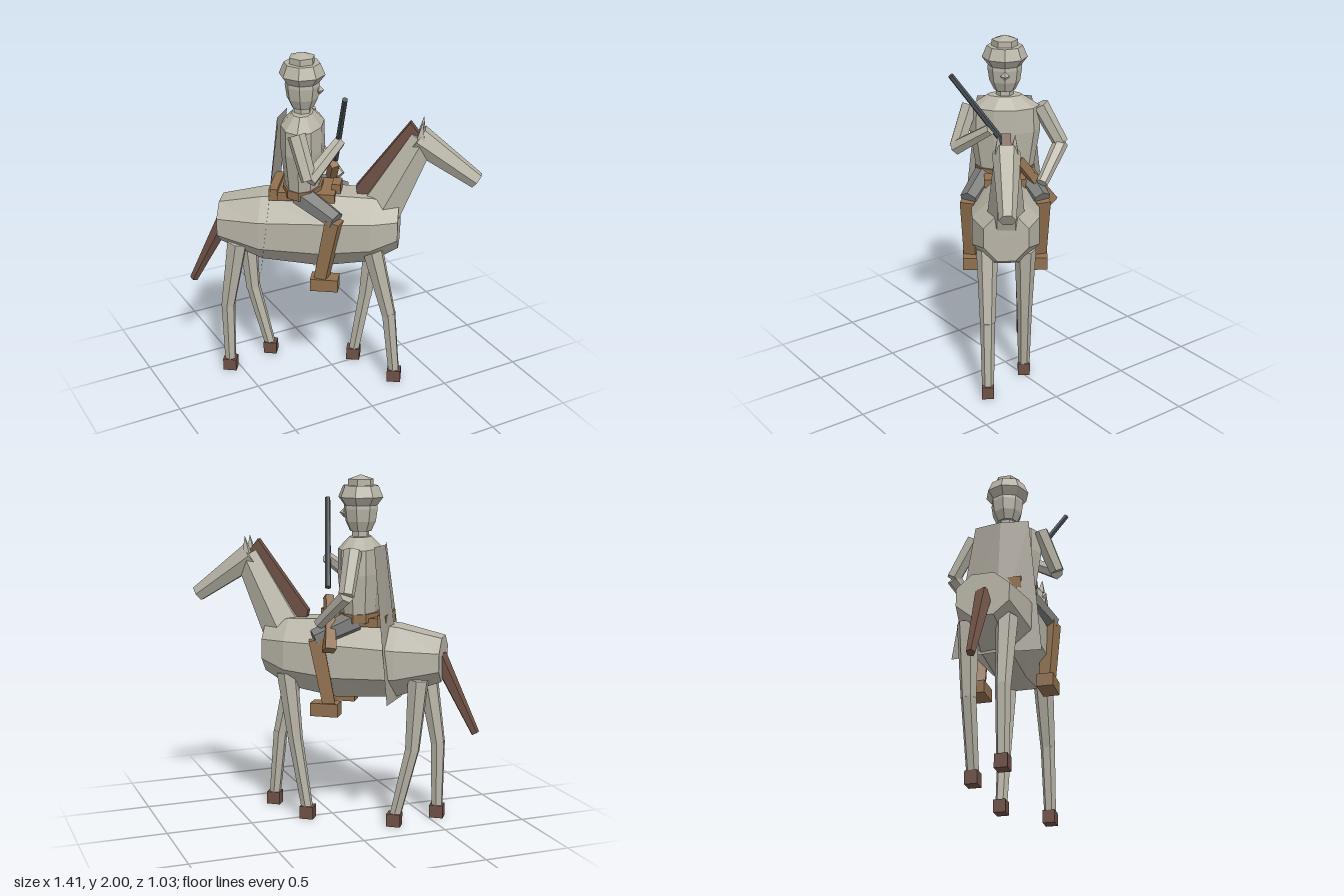
import * as THREE from 'three';

const paint = (name, color) => {
  const m = new THREE.MeshStandardMaterial({ color, flatShading: true });
  m.name = name;
  return m;
};

export function createModel() {
  const stone = paint('pale stone grey', 0xb8b4a7);
  const cloth = paint('cape grey', 0xa39e93);
  const trousers = paint('trouser grey', 0x7b7c7a);
  const hair = paint('dark brown', 0x6e5145);
  const leather = paint('leather brown', 0x90704f);
  const steel = paint('gun metal', 0x4c5358);
  cloth.side = THREE.DoubleSide;

  // Built facing +x with the right flank on +z, then turned on the spot
  const model = new THREE.Group();
  model.name = 'horseAndRider';
  const horse = new THREE.Group();
  horse.name = 'horse';
  const rider = new THREE.Group();
  rider.name = 'rider';
  model.add(horse, rider);

  const add = (parent, name, geometry, material) => {
    const mesh = new THREE.Mesh(geometry, material);
    mesh.name = name;
    parent.add(mesh);
    return mesh;
  };
  // Tapered prism between two points; depth scales its thickness along z
  const rod = (parent, name, a, b, ra, rb, material, sides = 6, depth = 1) => {
    const from = new THREE.Vector3(...a), to = new THREE.Vector3(...b);
    const dir = to.clone().sub(from);
    const geo = new THREE.CylinderGeometry(rb, ra, dir.length(), sides);
    if (sides === 4) geo.rotateY(Math.PI / 4);
    geo.scale(1, 1, depth);
    const mesh = add(parent, name, geo, material);
    mesh.position.copy(from).add(to).multiplyScalar(0.5);
    mesh.quaternion.setFromUnitVectors(new THREE.Vector3(0, 1, 0), dir.normalize());
    return mesh;
  };
  const box = (parent, name, size, pos, material) => {
    const mesh = add(parent, name, new THREE.BoxGeometry(...size), material);
    mesh.position.set(...pos);
    return mesh;
  };
  const lathe = (parent, name, profile, x, material, sides = 8) => {
    const pts = profile.map(([r, y]) => new THREE.Vector2(r, y));
    const mesh = add(parent, name, new THREE.LatheGeometry(pts, sides), material);
    mesh.position.x = x;
    return mesh;
  };

  // Barrel of the horse: octagonal sections [x, centre y, half height, half width]
  const rings = [
    [-0.65, 0.985, 0.135, 0.16], [-0.4, 0.965, 0.215, 0.21], [-0.05, 0.97, 0.245, 0.215],
    [0.24, 0.99, 0.215, 0.205], [0.39, 1.01, 0.15, 0.135],
  ];
  const barrel = new THREE.CylinderGeometry(1, 1, 1, 8, rings.length - 1);
  barrel.rotateY(Math.PI / 8).rotateZ(-Math.PI / 2);
  const p = barrel.attributes.position;
  for (let i = 0; i < p.count; i++) {
    const [x, y, h, w] = rings[Math.round((p.getX(i) + 0.5) * (rings.length - 1))];
    p.setXYZ(i, x, y + p.getY(i) * h, p.getZ(i) * w);
  }
  add(horse, 'horseBody', barrel, stone);

  // Neck, head, ears, mane and tail
  rod(horse, 'horseNeck', [0.27, 1.07, 0], [0.51, 1.54, 0], 0.135, 0.08, stone, 6, 0.8);
  rod(horse, 'horseHead', [0.48, 1.54, 0], [0.82, 1.3, 0], 0.085, 0.05, stone, 6, 0.9);
  for (const s of [-1, 1]) {
    rod(horse, 'horseEar', [0.5, 1.55, s * 0.04], [0.51, 1.65, s * 0.045], 0.03, 0.001, stone, 4);
  }
  const crest = new THREE.Shape([[0.16, 1.13], [0.14, 1.23], [0.44, 1.635], [0.49, 1.57]]
    .map(([x, y]) => new THREE.Vector2(x, y)));
  const mane = new THREE.ExtrudeGeometry(crest, { depth: 0.05, bevelEnabled: false });
  add(horse, 'mane', mane.translate(0, 0, -0.025), hair);
  rod(horse, 'tail', [-0.62, 1.0, 0], [-0.84, 0.56, 0], 0.05, 0.025, hair, 5);

  // Legs: x of hip, knee and hoof, then side
  const legs = [
    ['frontRightLeg', 0.25, 0.35, 0.39, 0.105], ['frontLeftLeg', 0.24, 0.19, 0.12, -0.11],
    ['hindRightLeg', -0.54, -0.61, -0.61, 0.105], ['hindLeftLeg', -0.53, -0.5, -0.4, -0.115],
  ];
  for (const [name, hip, knee, foot, z] of legs) {
    const leg = new THREE.Group();
    leg.name = name;
    horse.add(leg);
    rod(leg, 'upperLeg', [hip, 0.88, z], [knee, 0.46, z], 0.062, 0.043, stone);
    rod(leg, 'lowerLeg', [knee, 0.47, z], [foot, 0.05, z], 0.043, 0.034, stone);
    box(leg, 'hoof', [0.08, 0.075, 0.07], [foot, 0.0475, z], hair);
  }
  model.position.y = -0.01;

  // Saddle
  box(horse, 'saddleSeat', [0.36, 0.05, 0.24], [-0.15, 1.19, 0], leather);
  box(horse, 'saddleCantle', [0.05, 0.07, 0.26], [-0.32, 1.2, 0], leather);
  box(horse, 'saddlePommel', [0.05, 0.08, 0.1], [0.03, 1.21, 0], leather);

  // Torso, belt and neck
  const RX = -0.165;
  const torso = lathe(rider, 'torso', [[0.16, 1.18], [0.205, 1.46], [0.2, 1.6], [0.1, 1.665], [0, 1.665]], RX, stone, 10);
  torso.scale.x = 0.6;
  const belt = lathe(rider, 'belt', [[0.14, 1.19], [0.175, 1.19], [0.175, 1.24], [0.14, 1.24]], RX, leather, 10);
  belt.scale.x = 0.66;
  rod(rider, 'neck', [RX, 1.64, 0], [RX, 1.72, 0], 0.05, 0.05, stone);

  // Head, nose and cap
  lathe(rider, 'head', [[0, 1.695], [0.062, 1.695], [0.088, 1.75], [0.098, 1.82], [0.09, 1.9]], RX, stone);
  const nose = add(rider, 'nose', new THREE.OctahedronGeometry(0.028), stone);
  nose.position.set(RX + 0.095, 1.795, 0);
  lathe(rider, 'capBand', [[0.092, 1.835], [0.13, 1.885], [0.102, 1.95], [0, 1.95]], RX, stone);
  lathe(rider, 'capCrown', [[0.075, 1.94], [0.075, 1.985], [0, 2.01]], RX, stone, 6);

  // Arms: shoulder, elbow, hand
  const arms = [
    ['rightArm', [-0.17, 1.6, 0.2], [-0.09, 1.37, 0.28], [0.055, 1.53, 0.08]],
    ['leftArm', [-0.17, 1.6, -0.2], [-0.165, 1.37, -0.325], [0.02, 1.19, -0.21]],
  ];
  for (const [name, shoulder, elbow, hand] of arms) {
    const arm = new THREE.Group();
    arm.name = name;
    rider.add(arm);
    rod(arm, 'upperArm', shoulder, elbow, 0.052, 0.045, stone);
    rod(arm, 'forearm', elbow, hand, 0.045, 0.034, stone);
  }

  // Legs and boots
  for (const s of [-1, 1]) {
    const leg = new THREE.Group();
    leg.name = s > 0 ? 'riderRightLeg' : 'riderLeftLeg';
    rider.add(leg);
    rod(leg, 'thigh', [RX, 1.2, s * 0.1], [0.05, 1.1, s * 0.21], 0.07, 0.055, trousers);
    rod(leg, 'boot', [0.04, 1.1, s * 0.21], [-0.035, 0.72, s * 0.2], 0.058, 0.05, leather, 4);
    box(leg, 'foot', [0.16, 0.075, 0.095], [-0.015, 0.7, s * 0.2], leather);
  }

  // Cape: trapezoid sheet, gently bowed backwards
  const sheet = new THREE.PlaneGeometry(1, 1, 2, 1).rotateY(-Math.PI / 2);
  const c = sheet.attributes.position;
  for (let i = 0; i < c.count; i++) {
    const down = 0.5 - c.getY(i), side = c.getZ(i) * 2;
    const bow = 0.03 * (1 - Math.abs(side));
    c.setXYZ(i, -0.28 - 0.1 * down - bow, 1.62 - 0.87 * down, side * (0.16 + 0.095 * down));
  }
  add(rider, 'cape', sheet, cloth);

  // Rifle held across the chest
  const breech = [0.002, 1.325, -0.075];
  rod(rider, 'rifleBarrel', [0.015, 1.37, -0.04], [0.108, 1.855, 0.298], 0.019, 0.016, steel);
  rod(rider, 'rifleForestock', breech, [-0.022, 1.22, -0.15], 0.034, 0.034, leather, 4);
  rod(rider, 'rifleButt', [-0.02, 1.23, -0.145], [-0.055, 1.05, -0.268], 0.034, 0.046, leather, 4);

  model.rotation.y = -0.62;
  const root = new THREE.Group();
  root.name = 'mountedRider';
  root.add(model);
  return root;
}
